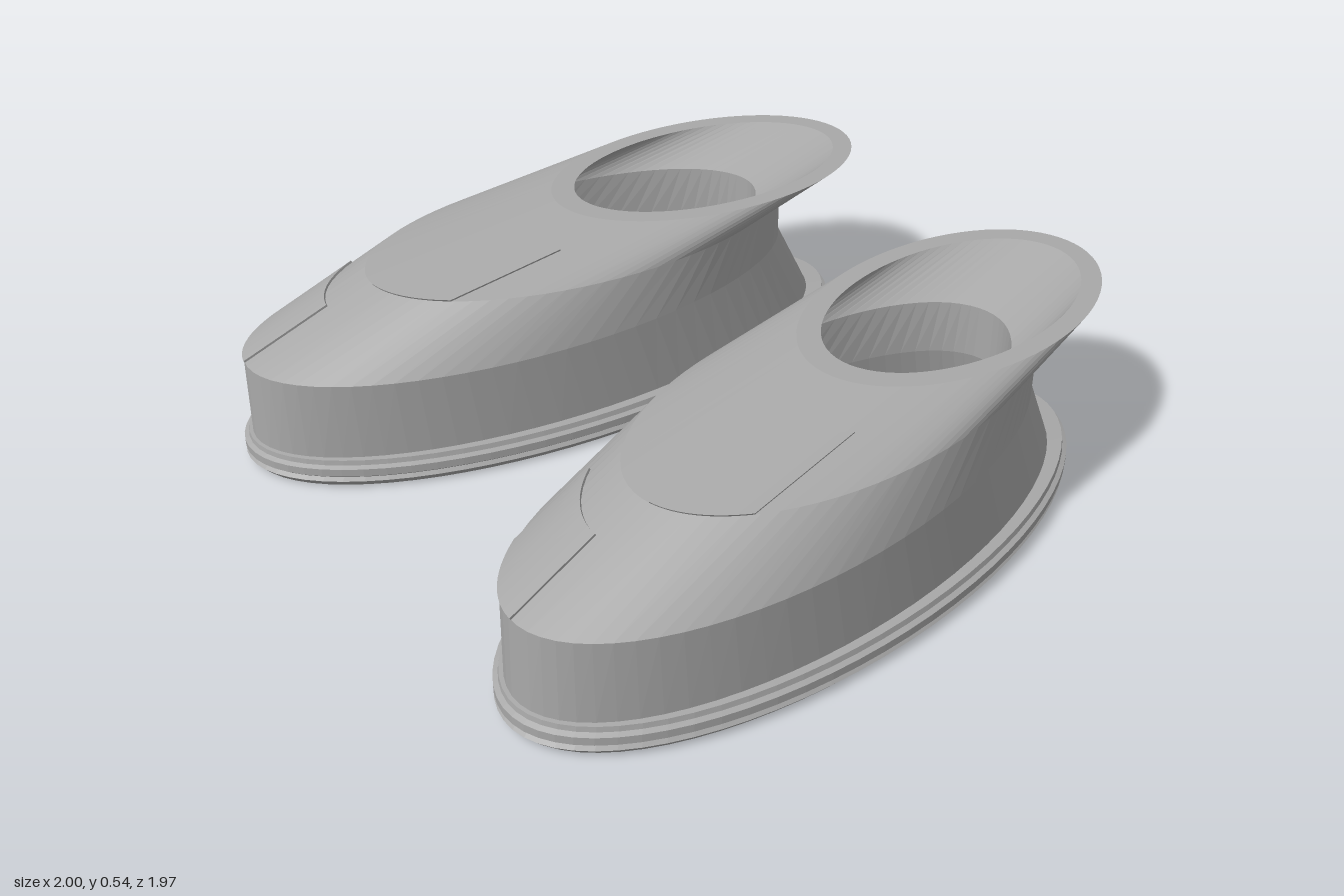
import * as THREE from 'three';

const SEGMENTS = 72;
const CENTRE_Z = 0.035;

// Point on an elliptical ring [y, front z, back z, half width] at angle t from the toe
function ringPoint([y, front, back, half], t) {
  const z = (front + back) / 2 - CENTRE_Z;
  return new THREE.Vector3(half * Math.sin(t), y, z + ((front - back) / 2) * Math.cos(t));
}

// Faceted surface over rows of points
function skin(rows) {
  const columns = rows[0].length;
  const index = [];
  for (let j = 0; j < rows.length - 1; j++) {
    for (let i = 0; i < columns - 1; i++) {
      const a = j * columns + i, d = a + columns;
      index.push(a, a + 1, d + 1, a, d + 1, d);
    }
  }
  const indexed = new THREE.BufferGeometry().setFromPoints(rows.flat());
  indexed.setIndex(index);
  const geometry = indexed.toNonIndexed();
  geometry.computeVertexNormals();
  return geometry;
}

// Closed loft through elliptical rings
function loft(rings) {
  return skin(rings.map((ring) =>
    Array.from({ length: SEGMENTS + 1 }, (_, i) => ringPoint(ring, (i / SEGMENTS) * Math.PI * 2))));
}

// Slightly raised panel between two rings, with edges that sink into the surface
function panel(lower, upper, f0, f1, t0, t1) {
  const rows = 6, columns = 14, rows3d = [];
  for (let j = 0; j <= rows + 2; j++) {
    const v = THREE.MathUtils.clamp((j - 1) / rows, 0, 1);
    const f = THREE.MathUtils.lerp(f0, f1, v);
    const ring = lower.map((value, k) => THREE.MathUtils.lerp(value, upper[k], f));
    const row = [];
    for (let i = 0; i <= columns + 2; i++) {
      const t = THREE.MathUtils.lerp(t0, t1, THREE.MathUtils.clamp((i - 1) / columns, 0, 1));
      const edge = j === 0 || j === rows + 2 || i === 0 || i === columns + 2;
      const lift = edge ? -0.003 : 0.006;
      const out = new THREE.Vector3(0.5 * Math.sin(t), 0.85, 0.5 * Math.cos(t));
      row.push(ringPoint(ring, t).addScaledVector(out, lift));
    }
    rows3d.push(row);
  }
  return skin(rows3d);
}

export function createModel() {
  const grey = new THREE.MeshStandardMaterial({ color: 0xa8a8a8 });
  grey.name = 'grey';

  // Main creases of the upper
  const base = [0.08, 0.965, -0.85, 0.38];
  const side = [0.31, 0.96, -0.73, 0.375];
  const shoulder = [0.46, 0.59, -0.725, 0.343];
  const rim = [0.54, 0, -0.99, 0.303];

  const parts = {
    // Grooved sole with a flat underside
    sole: loft([
      [0, 0.035, 0.035, 0],
      [0, 0.97, -0.9, 0.4],
      [0.022, 0.99, -0.92, 0.418],
      [0.032, 0.98, -0.91, 0.41],
      [0.04, 0.99, -0.92, 0.42],
      [0.062, 0.99, -0.92, 0.42],
      [0.068, 0.977, -0.907, 0.407],
      [0.082, 0.975, -0.905, 0.403],
      [0.085, 0.94, -0.84, 0.37],
    ]),
    // Outer wall, flared collar, hollow inside and insole in one skin
    upper: loft([
      base, side, shoulder, rim,
      [0.54, -0.07, -0.93, 0.25],
      [0.45, 0.48, -0.65, 0.275],
      [0.3, 0.86, -0.65, 0.3],
      [0.1, 0.88, -0.7, 0.31],
      [0.1, 0.035, 0.035, 0],
    ]),
    toePanel: panel(side, shoulder, 0, 0.67, -0.67, -0.06),
    instepPanel: panel(shoulder, rim, 0, 0.62, 0.06, 0.67),
  };

  // The two shoes toe outwards
  const model = new THREE.Group();
  model.name = 'shoes';
  for (const s of [1, -1]) {
    const shoe = new THREE.Group();
    shoe.name = s > 0 ? 'leftShoe' : 'rightShoe';
    for (const [name, geometry] of Object.entries(parts)) {
      const mesh = new THREE.Mesh(geometry, grey);
      mesh.name = name;
      shoe.add(mesh);
    }
    shoe.position.set(0.57 * s, 0, CENTRE_Z);
    shoe.rotation.y = 0.1 * s;
    model.add(shoe);
  }
  return model;
}
